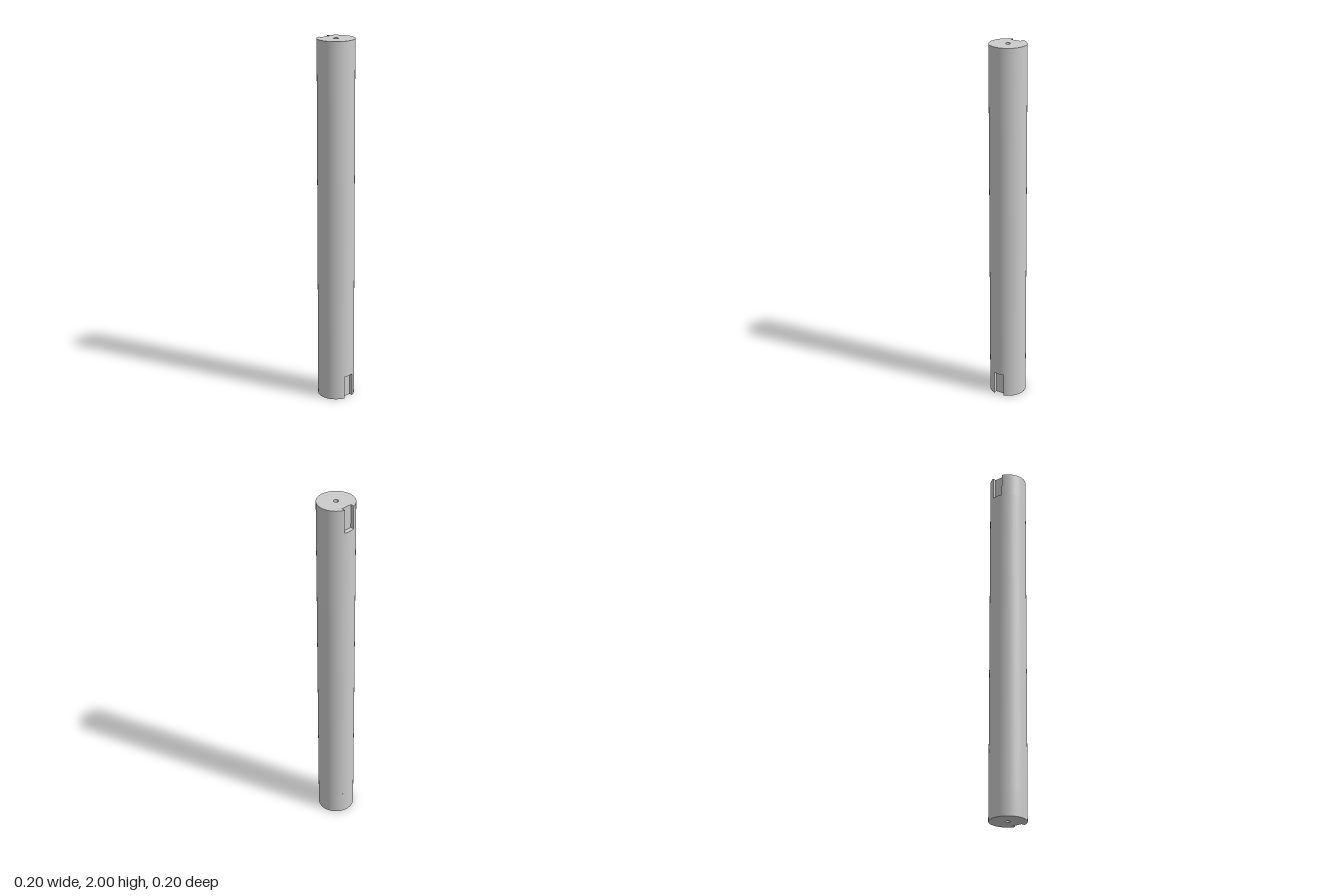
import * as THREE from 'three';

const R = 0.1, LENGTH = 2;                       // shaft
const HALF = 0.03, FLOOR = 0.075, SLOT = 0.13;   // keyway half width, floor distance from axis, length
const HOLE_R = 0.013, HOLE_DEPTH = 0.04;         // centre hole
const A = Math.asin(HALF / R);                   // half angle cut away by the keyway
const EDGE = R * Math.cos(A);                    // where the keyway sides meet the round surface

const material = new THREE.MeshStandardMaterial({ color: 0xcccccc });

function add(parent, name, geometry) {
  const mesh = new THREE.Mesh(geometry, material);
  mesh.name = name;
  parent.add(mesh);
  return mesh;
}

// Flat face from a shape in (x, z), facing down
const downFace = (shape, y) =>
  new THREE.ShapeGeometry(shape, 96).rotateX(Math.PI / 2).translate(0, y, 0);

// One shaft end: bottom end with the keyway at the front
function createEnd(name) {
  const end = new THREE.Group();
  end.name = name;

  // Round wall, open where the keyway is cut
  add(end, 'endWall', new THREE.CylinderGeometry(R, R, SLOT, 96, 1, true, A, 2 * Math.PI - 2 * A)
    .translate(0, SLOT / 2, 0));

  // End face with notch and centre hole
  const face = new THREE.Shape();
  face.absarc(0, 0, R, Math.PI / 2 + A, Math.PI * 2.5 - A, false);
  face.lineTo(HALF, FLOOR);
  face.lineTo(-HALF, FLOOR);
  face.closePath();
  const hole = new THREE.Path();
  hole.absarc(0, 0, HOLE_R, 0, Math.PI * 2, true);
  face.holes.push(hole);
  add(end, 'endFace', downFace(face, 0));

  // Keyway floor, sides and closed end
  add(end, 'keywayFloor', new THREE.PlaneGeometry(2 * HALF, SLOT).translate(0, SLOT / 2, FLOOR));
  for (const s of [-1, 1]) {
    add(end, s > 0 ? 'keywaySideLeft' : 'keywaySideRight',
      new THREE.PlaneGeometry(EDGE - FLOOR, SLOT).rotateY(-s * Math.PI / 2)
        .translate(s * HALF, SLOT / 2, (EDGE + FLOOR) / 2));
  }
  const ledge = new THREE.Shape();
  ledge.moveTo(-HALF, FLOOR);
  ledge.lineTo(HALF, FLOOR);
  ledge.absarc(0, 0, R, Math.PI / 2 - A, Math.PI / 2 + A, false);
  ledge.closePath();
  add(end, 'keywayEnd', downFace(ledge, SLOT));

  // Blind centre hole: a negative x scale turns the wall inward
  const bore = add(end, 'centreHoleWall',
    new THREE.CylinderGeometry(HOLE_R, HOLE_R, HOLE_DEPTH, 48, 1, true).translate(0, HOLE_DEPTH / 2, 0));
  bore.material = material.clone();
  bore.material.side = THREE.DoubleSide;
  add(end, 'centreHoleBottom', new THREE.CircleGeometry(HOLE_R, 48)
    .rotateX(Math.PI / 2).translate(0, HOLE_DEPTH, 0));
  return end;
}

export function createModel() {
  const model = new THREE.Group();
  model.name = 'keyedShaft';

  // Plain round length between the keyways
  add(model, 'shaftWall', new THREE.CylinderGeometry(R, R, LENGTH - 2 * SLOT, 96, 1, true)
    .translate(0, LENGTH / 2, 0));

  // Bottom end has its keyway at the front, the top end is turned over so its keyway is at the back
  model.add(createEnd('bottomEnd'));
  const top = createEnd('topEnd');
  top.rotation.x = Math.PI;
  top.position.y = LENGTH;
  model.add(top);
  return model;
}
